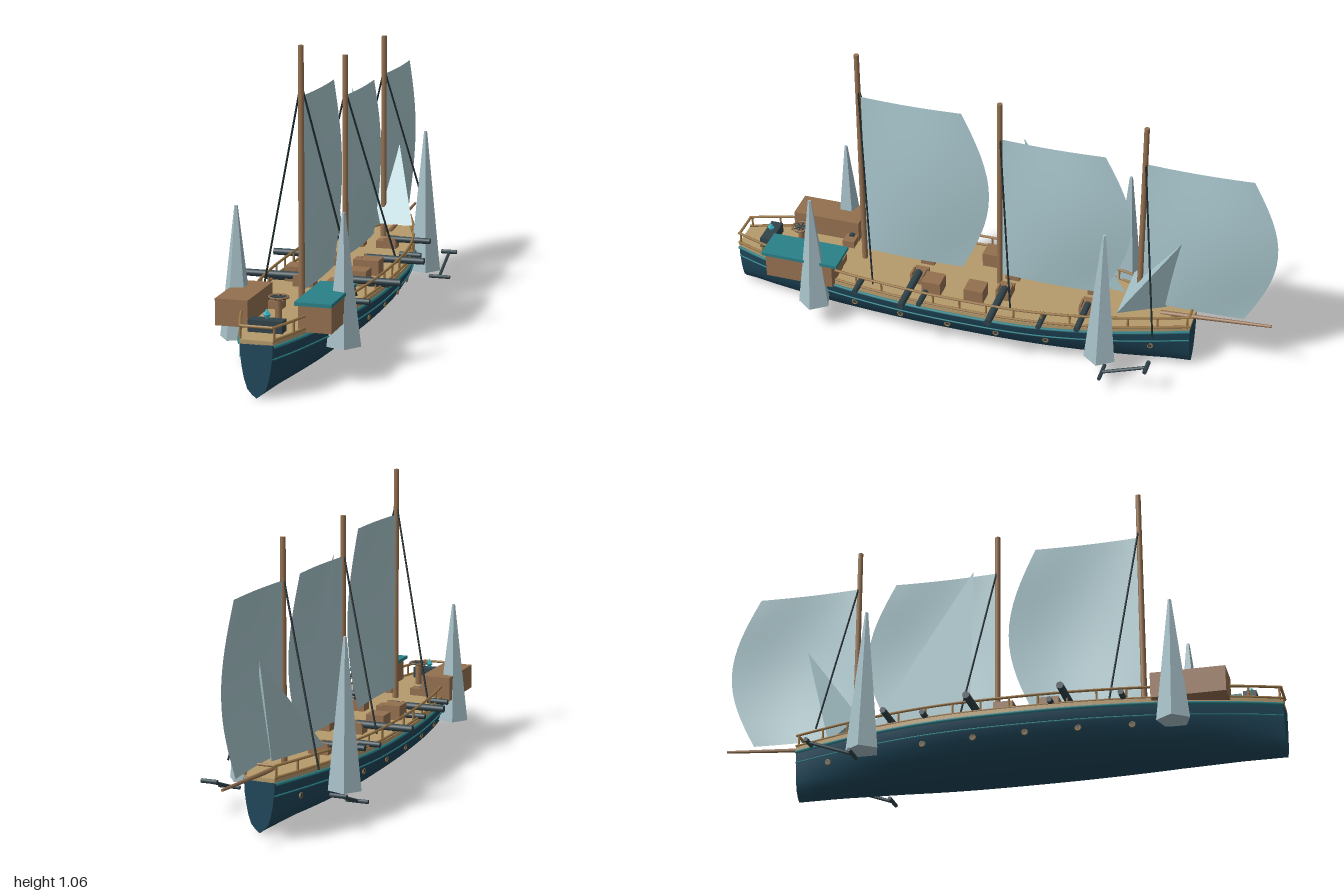
import * as THREE from 'three';
import { toCreasedNormals } from 'three/addons/utils/BufferGeometryUtils.js';

const V = (x, y, z) => new THREE.Vector3(x, y, z);

export function createModel() {
  const model = new THREE.Group();
  const mat = (name, color, opts = {}) => {
    const m = new THREE.MeshStandardMaterial({ color, ...opts });
    m.name = name;
    return m;
  };
  const hullBlue = mat('hull blue', 0x1f475b);
  const deckTan = mat('deck tan', 0xb59a6c);
  const wood = mat('wood brown', 0x94704f);
  const railWood = mat('rail wood', 0x9c7848);
  const teal = mat('teal trim', 0x2a8088);
  const iron = mat('dark iron', 0x30434a);
  const rope = mat('rope', 0x1f2c30);
  const sailCloth = mat('sail cloth', 0xa9c7cd, { side: THREE.DoubleSide });
  const crystal = mat('pale crystal', 0xa6c0c7, { flatShading: true });
  const glow = mat('lantern cyan', 0x3fb9c9, { flatShading: true });

  const add = (name, geo, m, x = 0, y = 0, z = 0) => {
    const mesh = new THREE.Mesh(geo, m);
    mesh.name = name;
    mesh.position.set(x, y, z);
    model.add(mesh);
    return mesh;
  };
  const box = (name, m, x, y, z, w, h, d) => add(name, new THREE.BoxGeometry(w, h, d), m, x, y, z);
  // Round bar from a to b
  const bar = (name, m, a, b, r, rEnd = r, sides = 8) => {
    const d = b.clone().sub(a);
    const mesh = add(name, new THREE.CylinderGeometry(rEnd, r, d.length(), sides), m);
    mesh.position.copy(a).addScaledVector(d, 0.5);
    mesh.quaternion.setFromUnitVectors(V(0, 1, 0), d.normalize());
    return mesh;
  };

  // Half width of the ship along z
  const plan = new THREE.SplineCurve([[1, 0.055], [0.85, 0.105], [0.6, 0.165], [0.3, 0.2], [0, 0.205],
    [-0.2, 0.192], [-0.4, 0.155], [-0.55, 0.113], [-0.72, 0.055]].map(p => new THREE.Vector2(...p)));
  const stations = plan.getPoints(32).reverse(); // x holds z, y holds half width
  const widthAt = z => {
    let i = 1;
    while (i < stations.length - 1 && stations[i].x < z) i++;
    const a = stations[i - 1], b = stations[i];
    return a.y + (b.y - a.y) * (z - a.x) / (b.x - a.x);
  };

  // Hull lofted from one cross-section
  const half = [[1, 0.178], [0.97, 0.14], [0.88, 0.1], [0.75, 0.062], [0.56, 0.03], [0.28, 0.012], [0, 0]];
  const section = [...half, ...half.slice(0, -1).reverse().map(([x, y]) => [-x, y])];
  const n = section.length, last = (stations.length - 1) * n;
  const pos = [], idx = [];
  for (const s of stations) for (const [x, y] of section) pos.push(x * s.y, y, s.x);
  for (let i = 0; i < stations.length - 1; i++) {
    for (let j = 0; j < n - 1; j++) {
      const a = i * n + j, b = a + n;
      idx.push(a, b, a + 1, a + 1, b, b + 1);
    }
  }
  for (let j = 1; j < n - 1; j++) idx.push(0, j, j + 1, last, last + j + 1, last + j);
  const hullGeo = new THREE.BufferGeometry();
  hullGeo.setAttribute('position', new THREE.Float32BufferAttribute(pos, 3));
  hullGeo.setIndex(idx);
  add('hull', toCreasedNormals(hullGeo, 0.7), hullBlue);

  // Deck slab
  const outline = [...stations.map(s => new THREE.Vector2(s.y, -s.x)),
    ...stations.slice().reverse().map(s => new THREE.Vector2(-s.y, -s.x))];
  const deckGeo = new THREE.ExtrudeGeometry(new THREE.Shape(outline), { depth: 0.014, bevelEnabled: false });
  add('deck', deckGeo.rotateX(-Math.PI / 2), deckTan, 0, 0.176, 0);

  // Strakes and rails following the hull edge
  for (const s of [1, -1]) {
    const edge = (name, m, k, y, r) => add(name, new THREE.TubeGeometry(new THREE.CatmullRomCurve3(
      stations.map(p => V(s * p.y * k, y, p.x))), 48, r, 6), m);
    edge('sheerStrake', teal, 1.0, 0.17, 0.006);
    edge('lowerStrake', teal, 0.962, 0.13, 0.003);
    edge('topRail', railWood, 0.96, 0.233, 0.005);
    edge('footRail', railWood, 0.97, 0.193, 0.005);
    for (let i = 0; i < 18; i++) {
      const z = -0.71 + i * 0.1;
      const x = s * widthAt(z) * 0.96;
      bar('railPost', railWood, V(x, 0.185, z), V(x, 0.233, z), 0.004, 0.004, 6);
    }
    // Portholes
    for (let i = 0; i < 7; i++) {
      const z = 0.505 - i * 0.182;
      const ring = add('porthole', new THREE.TorusGeometry(0.009, 0.003, 6, 12), railWood, s * widthAt(z) * 0.9, 0.105, z);
      ring.rotation.y = Math.PI / 2;
      const x = widthAt(z) * 0.885;
      bar('portGlass', iron, V(s * (x - 0.01), 0.105, z), V(s * (x + 0.004), 0.105, z), 0.008);
    }
  }
  for (const z of [0.995, -0.715]) {
    const w = widthAt(z) * 0.96;
    bar('endRail', railWood, V(-w, 0.233, z), V(w, 0.233, z), 0.005);
  }

  // Masts with boom-less sails and shrouds
  const masts = [{ z: 0.52, top: 1.06, sail: 0.89 }, { z: 0, top: 0.957, sail: 0.812 }, { z: -0.52, top: 0.957, sail: 0.812 }];
  for (const { z, top, sail } of masts) {
    bar('mast', wood, V(0, 0.18, z), V(0, top, z), 0.011, 0.0095, 10);
    const geo = new THREE.PlaneGeometry(1, 1, 12, 16);
    const p = geo.attributes.position;
    for (let i = 0; i < p.count; i++) {
      const u = p.getX(i) + 0.5, v = p.getY(i) + 0.5;
      const bow = Math.sin(Math.PI * v);
      p.setXYZ(i, 0.028 * Math.sin(Math.PI * u) * (0.25 + 0.75 * bow), 0.23 + (sail - 0.23) * v,
        z - 0.008 - u * (0.372 + 0.1 * bow));
    }
    geo.computeVertexNormals();
    add('sail', geo, sailCloth);
    for (const s of [1, -1]) {
      bar('shroud', rope, V(0, top - 0.125, z), V(s * 0.165, 0.205, z - 0.09), 0.0035, 0.0035, 6);
    }
  }

  // Triangular sails
  const triangles = (name, pts) => {
    const g = new THREE.BufferGeometry().setFromPoints(pts);
    g.computeVertexNormals();
    add(name, g, sailCloth);
  };
  triangles('staysail', [V(0, 0.83, -0.09), V(0, 0.27, -0.1), V(0, 0.25, -0.47)]);
  const l = V(0.125, 0.25, -0.47), r = V(-0.125, 0.25, -0.47), c = V(0, 0.22, -0.62), tip = V(0, 0.58, -0.71);
  triangles('jib', [l, tip, r, l, c, tip, c, r, tip, l, r, c]);
  bar('bowsprit', wood, V(0, 0.19, -0.6), V(0, 0.219, -1), 0.009, 0.005);

  for (const s of [1, -1]) {
    // Side crystals
    for (const [z, top] of [[0.65, 0.54], [-0.43, 0.62]]) {
      const h = top - 0.094;
      const spike = add('crystalSpike', new THREE.CylinderGeometry(0.006, 0.06, h, 5), crystal, s * 0.184, 0.094 + h / 2, z);
      spike.rotation.y = s * 0.3;
    }
    // Anchors
    bar('anchorShank', iron, V(s * 0.236, 0.065, -0.45), V(s * 0.236, 0.124, -0.61), 0.006);
    bar('anchorStock', iron, V(s * 0.205, 0.124, -0.61), V(s * 0.265, 0.124, -0.61), 0.008);
    bar('anchorArm', iron, V(s * 0.197, 0.065, -0.45), V(s * 0.277, 0.065, -0.45), 0.007);
    // Long guns on carriages
    for (const [z, x1, rad] of [[-0.35, 0.225, 0.012], [-0.04, 0.28, 0.014], [0.285, 0.28, 0.014]]) {
      bar('longGun', iron, V(s * 0.07, 0.222, z), V(s * x1, 0.222, z), rad, rad * 0.9, 12);
      box('gunCarriage', wood, s * 0.062, 0.203, z, 0.075, 0.03, 0.052);
      for (const dz of [-0.022, 0.022]) box('carriageCheek', wood, s * 0.075, 0.218, z + dz, 0.045, 0.025, 0.007);
    }
    // Short guns
    for (const z of [-0.21, 0.235, 0.48]) {
      bar('shortGun', iron, V(s * 0.145, 0.2, z), V(s * 0.225, 0.2, z), 0.011, 0.01, 10);
    }
    bar('sternGun', iron, V(s * 0.07, 0.215, 0.6), V(s * 0.17, 0.215, 0.6), 0.011);
    box('sternGunCarriage', wood, s * 0.065, 0.203, 0.6, 0.055, 0.028, 0.045);
    // Crates
    for (const z of [0.055, 0.215]) box('crate', wood, s * 0.113, 0.216, z, 0.068, 0.055, 0.07);
    // Deck cabins
    box('cabin', wood, s * 0.141, 0.225, 0.703, 0.112, 0.09, 0.255);
  }
  box('cabinRoof', teal, 0.138, 0.275, 0.7, 0.125, 0.012, 0.29);

  // Steering wheel lying flat on its post
  bar('wheelPost', wood, V(0, 0.185, 0.77), V(0, 0.273, 0.77), 0.012);
  add('wheelRim', new THREE.TorusGeometry(0.031, 0.004, 6, 20).rotateX(Math.PI / 2), wood, 0, 0.274, 0.77);
  for (let i = 0; i < 4; i++) {
    const a = i * Math.PI / 4, x = 0.037 * Math.cos(a), z = 0.037 * Math.sin(a);
    bar('wheelSpoke', iron, V(-x, 0.274, 0.77 - z), V(x, 0.274, 0.77 + z), 0.0025, 0.0025, 6);
  }

  // Lantern on its stand
  box('lanternStand', iron, 0, 0.211, 0.89, 0.115, 0.04, 0.045);
  add('lantern', new THREE.OctahedronGeometry(0.02), glow, 0, 0.246, 0.89).scale.set(0.7, 1, 0.7);

  return model;
}
